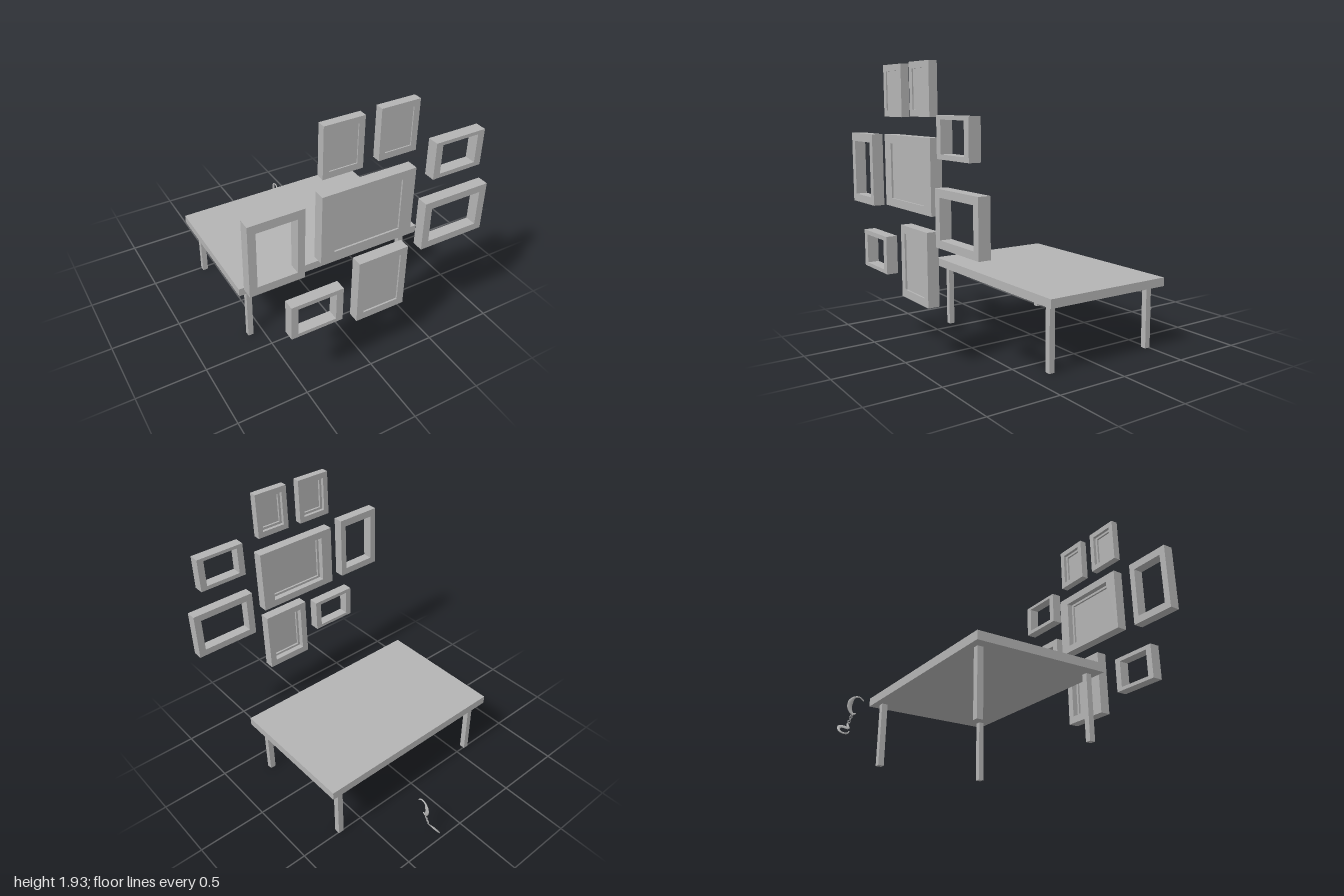
import * as THREE from 'three';

const gray = new THREE.MeshStandardMaterial({ color: 0xb4b4b4 });
gray.name = 'plain gray';

function add(parent, name, geometry, x = 0, y = 0, z = 0) {
  const mesh = new THREE.Mesh(geometry, gray);
  mesh.name = name;
  mesh.position.set(x, y, z);
  parent.add(mesh);
  return mesh;
}

// Box given by its minimum and maximum on each axis
function span(parent, name, [x0, x1], [y0, y1], [z0, z1]) {
  return add(parent, name, new THREE.BoxGeometry(x1 - x0, y1 - y0, z1 - z0),
    (x0 + x1) / 2, (y0 + y1) / 2, (z0 + z1) / 2);
}

// Rectangular ring extruded from z0 to z1
function ring(parent, name, o, i, z0, z1) {
  const corners = ([x0, x1, y0, y1]) =>
    [[x0, y0], [x1, y0], [x1, y1], [x0, y1]].map(([x, y]) => new THREE.Vector2(x, y));
  const shape = new THREE.Shape(corners(o));
  shape.holes.push(new THREE.Path(corners(i).reverse()));
  return add(parent, name,
    new THREE.ExtrudeGeometry(shape, { depth: z1 - z0, bevelEnabled: false }), 0, 0, z0);
}

// Picture frame: outer and inner rectangles [x0, x1, y0, y1], optionally with a panel
function pictureFrame(parent, { name, outer, inner, z, recess }) {
  const g = new THREE.Group();
  g.name = name;
  ring(g, 'frameBorder', outer, inner, z[0], z[1]);
  if (recess) {
    const front = z[1] - recess;
    const m = 0.018;
    const [x0, x1, y0, y1] = inner;
    span(g, 'picturePanel', [x0, x1], [y0, y1], [front - 0.008, front]);
    // Stepped ledge behind the panel
    ring(g, 'backLedge', inner, [x0 + m, x1 - m, y0 + m, y1 - m], front - 0.023, front - 0.008);
  }
  parent.add(g);
}

// Curved band through points; half width varies along it, flat across the given normal
function band(parent, name, points, widths, normal, thickness) {
  const segs = 40, sides = 8;
  const curve = new THREE.CatmullRomCurve3(points.map(p => new THREE.Vector3(...p)));
  const geo = new THREE.TubeGeometry(curve, segs, 1, sides);
  const pos = geo.attributes.position;
  const n = new THREE.Vector3(...normal).normalize();
  const v = new THREE.Vector3();
  for (let i = 0; i <= segs; i++) {
    const c = curve.getPointAt(i / segs);
    const f = (i / segs) * (widths.length - 1);
    const k = Math.min(Math.floor(f), widths.length - 2);
    const w = THREE.MathUtils.lerp(widths[k], widths[k + 1], f - k);
    for (let j = 0; j <= sides; j++) {
      const id = i * (sides + 1) + j;
      v.fromBufferAttribute(pos, id).sub(c);
      const across = v.dot(n);
      v.addScaledVector(n, -across).multiplyScalar(w).addScaledVector(n, across * thickness).add(c);
      pos.setXYZ(id, v.x, v.y, v.z);
    }
  }
  geo.computeVertexNormals();
  return add(parent, name, geo);
}

export function createModel() {
  const model = new THREE.Group();
  model.name = 'tableAndFrames';

  // Table
  const table = new THREE.Group();
  table.name = 'table';
  span(table, 'tableTop', [-0.685, 0.775], [0.443, 0.503], [-0.555, 0.4]);
  for (const x of [[-0.612, -0.572], [0.66, 0.702]])
    for (const z of [[-0.507, -0.465], [0.315, 0.355]])
      span(table, 'tableLeg', x, [0, 0.443], z);
  model.add(table);

  // Hanging picture frames
  const frames = new THREE.Group();
  frames.name = 'pictureFrames';
  [
    { name: 'topLeftFrame', outer: [-0.375, -0.11, 1.583, 1.92], inner: [-0.335, -0.15, 1.625, 1.878], z: [0.877, 0.932], recess: 0.008 },
    { name: 'topMiddleFrame', outer: [0, 0.262, 1.59, 1.926], inner: [0.04, 0.222, 1.632, 1.884], z: [0.872, 0.928], recess: 0.008 },
    { name: 'largeFrame', outer: [-0.375, 0.276, 0.99, 1.466], inner: [-0.283, 0.184, 1.044, 1.41], z: [0.857, 0.935], recess: 0.012 },
    { name: 'bottomFrame', outer: [-0.11, 0.256, 0.416, 0.891], inner: [-0.06, 0.205, 0.469, 0.84], z: [0.879, 0.957], recess: 0.012 },
    { name: 'leftOpenFrame', outer: [-0.863, -0.505, 0.969, 1.461], inner: [-0.812, -0.553, 1.023, 1.403], z: [0.893, 0.97] },
    { name: 'lowerLeftOpenFrame', outer: [-0.613, -0.248, 0.538, 0.793], inner: [-0.564, -0.297, 0.564, 0.763], z: [0.922, 1] },
    { name: 'upperRightOpenFrame', outer: [0.398, 0.765, 1.35, 1.604], inner: [0.447, 0.715, 1.38, 1.58], z: [0.877, 0.955] },
    { name: 'rightOpenFrame', outer: [0.367, 0.858, 0.82, 1.176], inner: [0.42, 0.804, 0.87, 1.125], z: [0.877, 0.955] },
  ].forEach(f => pictureFrame(frames, f));
  model.add(frames);

  // Small pair of open cuffs joined by a chain
  const cuffs = new THREE.Group();
  cuffs.name = 'cuffs';
  band(cuffs, 'upperCuff', [
    [0.248, 0.284, -0.822], [0.25, 0.305, -0.85], [0.252, 0.297, -0.888],
    [0.257, 0.252, -0.912], [0.256, 0.208, -0.905], [0.25, 0.187, -0.888], [0.247, 0.195, -0.872],
  ], [0.003, 0.005, 0.007, 0.017, 0.017, 0.011, 0.004], [1, 0, 0], 0.005);
  const slanted = y => 0.19 + 0.7 * (y - 0.035);
  band(cuffs, 'lowerCuff', [
    [0.118, -0.922], [0.085, -0.925], [0.09, -0.955], [0.085, -0.98],
    [0.058, -0.99], [0.04, -0.97], [0.042, -0.938], [0.058, -0.922],
  ].map(([y, z]) => [slanted(y), y, z]),
  [0.006, 0.011, 0.013, 0.012, 0.009, 0.007, 0.006, 0.003], [0.085, -0.06, 0], 0.005);
  for (let i = 0; i < 5; i++) {
    const t = i / 4;
    const link = add(cuffs, 'chainLink', new THREE.TorusGeometry(0.0075, 0.0025, 6, 12),
      0.25 - 0.008 * t, 0.18 - 0.06 * t, -0.896 - 0.022 * t);
    link.rotation.y = (i % 2 ? 1 : 0.2) * Math.PI / 2;
  }
  model.add(cuffs);

  return model;
}
